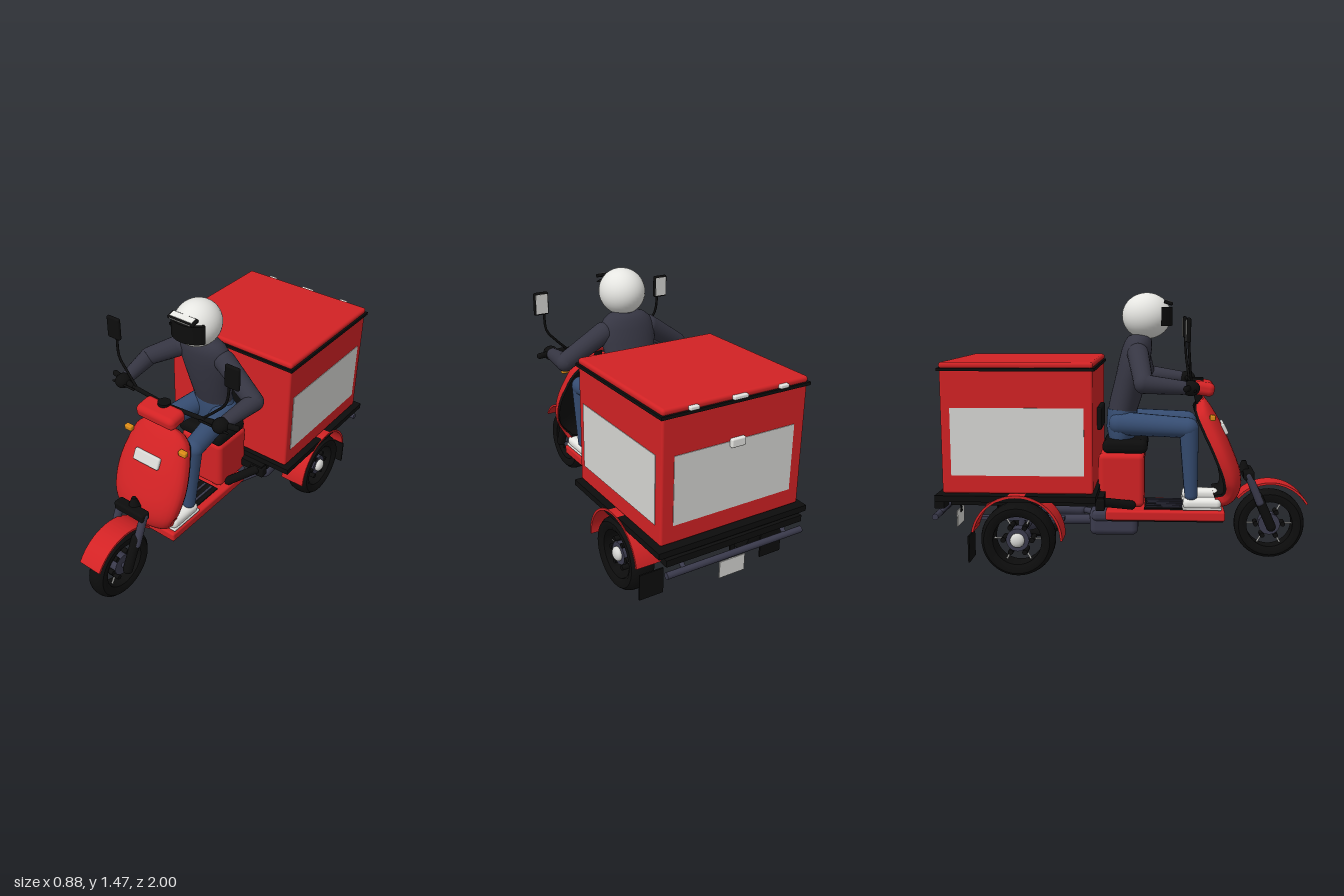
import * as THREE from 'three';
import { toCreasedNormals } from 'three/addons/utils/BufferGeometryUtils.js';
import { RoundedBoxGeometry } from 'three/addons/geometries/RoundedBoxGeometry.js';

const V = (x, y, z) => new THREE.Vector3(x, y, z);
const mat = (name, color) => Object.assign(new THREE.MeshStandardMaterial({ color }), { name });

// Closed solid through equal-sized rings of points, with flat end caps
function loft(rings, crease = 0.7) {
  const n = rings[0].length, pos = [], idx = [];
  rings.forEach(r => r.forEach(p => pos.push(p.x, p.y, p.z)));
  for (let j = 0; j < rings.length - 1; j++) for (let i = 0; i < n; i++) {
    const a = j * n + i, b = j * n + (i + 1) % n;
    idx.push(a, b, b + n, a, b + n, a + n);
  }
  [[rings[0], 0], [rings[rings.length - 1], (rings.length - 1) * n]].forEach(([r, base], end) => {
    const c = r.reduce((s, p) => s.add(p), V(0, 0, 0)).divideScalar(n), k = pos.length / 3;
    pos.push(c.x, c.y, c.z);
    for (let i = 0; i < n; i++) {
      const a = base + i, b = base + (i + 1) % n;
      idx.push(...(end ? [a, b, k] : [b, a, k]));
    }
  });
  // turn the faces outward if the volume comes out negative
  const P = i => V(pos[3 * i], pos[3 * i + 1], pos[3 * i + 2]);
  let volume = 0;
  for (let i = 0; i < idx.length; i += 3) volume += P(idx[i]).dot(P(idx[i + 1]).cross(P(idx[i + 2])));
  if (volume < 0) idx.reverse();
  const g = new THREE.BufferGeometry();
  g.setAttribute('position', new THREE.Float32BufferAttribute(pos, 3));
  g.setIndex(idx);
  return toCreasedNormals(g, crease);
}

// Stack of horizontal ellipses given as [y, z, halfWidth, halfDepth]
const ellipses = rows => loft(rows.map(([y, z, w, d]) => Array.from({ length: 28 }, (_, i) => {
  const a = i / 28 * Math.PI * 2;
  return V(w * Math.cos(a), y, z + d * Math.sin(a));
})));

// Front shield shell: rows run down the outside, each bowed backwards at its edges
function shield(from, to, scale) {
  const path = new THREE.CatmullRomCurve3([[.08, .905, .425], [.13, .89, .437], [.165, .86, .46], [.2, .76, .52],
    [.22, .63, .58], [.208, .5, .628], [.19, .42, .635], [.165, .35, .61], [.15, .305, .56], [.145, .292, .5]].map(p => V(...p)));
  const rings = [];
  for (let j = 0; j <= 30; j++) {
    const p = path.getPoint(j / 30), t = path.getTangent(j / 30);
    const back = V(0, t.z, -t.y).normalize().multiplyScalar(-1);
    const row = off => Array.from({ length: 17 }, (_, i) => {
      const a = (i / 8 - 1) * Math.PI / 2, bow = .07 * (1 - Math.cos(a));
      return V(p.x * scale * Math.sin(a), p.y, p.z).addScaledVector(back, bow * Math.min(1, p.x / .2) + off);
    });
    rings.push([...row(from), ...row(to).reverse()]);
  }
  return loft(rings);
}

// Curved mudguard around the x axis, angles measured from the front
function guard(r, width, a0, a1) {
  const s = new THREE.Shape();
  s.absarc(0, 0, r, a0, a1, false);
  s.absarc(0, 0, r - .012, a1, a0, true);
  const g = new THREE.ExtrudeGeometry(s, { depth: width, bevelEnabled: false, curveSegments: 28 });
  return toCreasedNormals(g.translate(0, 0, -width / 2).rotateY(-Math.PI / 2), .5);
}

export function createModel() {
  const red = mat('red paint', 0xd22224), black = mat('black', 0x0d0d0d), panel = mat('pale panel', 0xd6d6d3),
    white = mat('white', 0xe6e6e2), slate = mat('slate metal', 0x3a3a4c), jacket = mat('jacket', 0x363643),
    denim = mat('denim', 0x364d72), amber = mat('amber', 0xd98a16);
  const root = new THREE.Group();
  const add = (name, geo, m, x = 0, y = 0, z = 0, parent = root) => {
    const mesh = new THREE.Mesh(geo, m);
    mesh.name = name;
    mesh.position.set(x, y, z);
    parent.add(mesh);
    return mesh;
  };
  const box = (name, m, w, h, d, x, y, z, r = 0, parent = root) => add(name,
    r ? new RoundedBoxGeometry(w, h, d, 3, r) : new THREE.BoxGeometry(w, h, d), m, x, y, z, parent);
  // Round-ended, tapered bar from a to b
  const limb = (name, m, a, b, ra, rb = ra) => {
    const d = b.clone().sub(a), L = d.length(), pts = [];
    for (let i = 0; i <= 6; i++) { const t = i / 12 * Math.PI; pts.push(new THREE.Vector2(ra * Math.sin(t), -ra * Math.cos(t))); }
    for (let i = 0; i <= 6; i++) { const t = i / 12 * Math.PI; pts.push(new THREE.Vector2(rb * Math.cos(t), L + rb * Math.sin(t))); }
    const mesh = add(name, new THREE.LatheGeometry(pts, 18), m, a.x, a.y, a.z);
    mesh.quaternion.setFromUnitVectors(V(0, 1, 0), d.normalize());
    return mesh;
  };
  const sides = fn => [1, -1].forEach(fn);
  const disc = (r, w, n = 24) => new THREE.CylinderGeometry(r, r, w, n).rotateZ(Math.PI / 2);

  // Wheels: open between hub and rim, with thin spokes and six lugs
  const wheel = (name, x, z, w) => {
    const g = new THREE.Group();
    g.name = name;
    g.position.set(x, .195, z);
    root.add(g);
    const profile = [[.127, -.4], [.15, -.5], [.172, -.49], [.188, -.34], [.194, -.15], [.194, .15], [.188, .34],
      [.172, .49], [.15, .5], [.127, .4], [.127, -.4]].map(([r, k]) => new THREE.Vector2(r, k * w));
    add('tyre', toCreasedNormals(new THREE.LatheGeometry(profile, 40).rotateZ(Math.PI / 2), .6), black, 0, 0, 0, g);
    add('hub', disc(.06, w * .6), slate, 0, 0, 0, g);
    for (let i = 0; i < 6; i++) {
      const a = i / 6 * Math.PI * 2, c = Math.cos(a), s = Math.sin(a);
      add('lug', disc(.014, w * .66, 10), black, 0, .075 * s, .075 * c, g);
      const spoke = add('spoke', new THREE.CylinderGeometry(.005, .005, .075, 6), panel, 0, .095 * s, .095 * c, g);
      spoke.rotation.x = Math.PI / 2 - a;
    }
  };
  wheel('frontWheel', 0, .795, .1);
  add('frontMudguard', guard(.238, .135, .53, 2.45), red, 0, .2, .795);
  sides(s => {
    wheel('rearWheel', s * .365, -.55, .135);
    add('hubCap', new THREE.SphereGeometry(.038, 18, 12).scale(.6, 1, 1), panel, s * .412, .195, -.55);
    add('rearMudguard', guard(.238, .145, 0, 2.95), red, s * .367, .2, -.55);
    box('mudFlap', black, .135, .14, .008, s * .367, .15, -.8);
  });

  // Front fork and steering stem
  box('forkCrown', black, .2, .05, .06, 0, .48, .672, .012);
  add('stemCone', new THREE.CylinderGeometry(.012, .035, .06, 14), black, 0, .52, .65);
  sides(s => {
    limb('forkTube', slate, V(s * .082, .48, .67), V(s * .082, .33, .735), .022);
    limb('forkLeg', black, V(s * .072, .36, .725), V(s * .068, .19, .8), .027);
  });
  add('frontAxle', disc(.014, .17, 12), slate, 0, .195, .795);

  // Leg shield with lamp and indicators
  add('legShield', shield(0, .028, 1), red);
  add('shieldLining', shield(.026, .042, .97), black);
  box('headLamp', panel, .168, .065, .024, 0, .735, .535, .01).rotation.x = -.45;
  sides(s => box('indicator', amber, .048, .03, .03, s * .183, .812, .463, .008));
  limb('steeringStem', black, V(0, .84, .41), V(0, .97, .375), .022);

  // Handlebar, cowl and mirrors
  box('handlebarCowl', red, .25, .075, .12, 0, .957, .417, .03).rotation.x = .15;
  add('instrument', new THREE.CylinderGeometry(.035, .035, .02, 18), black, 0, 1.0, .385);
  sides(s => {
    limb('handlebar', black, V(0, .985, .375), V(s * .25, .982, .35), .012);
    limb('grip', black, V(s * .25, .982, .35), V(s * .405, .985, .315), .016);
    limb('brakeLever', black, V(s * .22, .985, .375), V(s * .38, .97, .36), .006);
    const stalk = new THREE.CatmullRomCurve3([V(s * .22, .985, .35), V(s * .29, 1.05, .34), V(s * .35, 1.12, .333), V(s * .365, 1.24, .325)]);
    add('mirrorStalk', new THREE.TubeGeometry(stalk, 16, .007, 8), black);
    box('mirror', black, .085, .125, .022, s * .38, 1.277, .325, .01);
    box('mirrorGlass', panel, .068, .105, .004, s * .38, 1.277, .3125);
  });

  // Step-through floor
  box('floor', red, .33, .055, .65, 0, .267, .215, .012);
  box('floorUnderside', black, .31, .008, .63, 0, .238, .215);
  box('floorMat', black, .25, .008, .4, 0, .297, .3);
  for (let i = -2; i <= 2; i++) box('matRib', slate, .014, .008, .38, i * .045, .303, .3);

  // Seat
  box('seatBase', red, .28, .3, .25, 0, .455, -.025, .03);
  box('seat', black, .3, .075, .245, 0, .643, -.005, .032);
  box('backrest', black, .26, .125, .03, 0, .795, -.145, .012);

  // Cargo box with lid, panels and catches
  box('cargoBox', red, .81, .64, .78, 0, .76, -.545, .012);
  box('lidSeam', black, .832, .016, .8, 0, 1.08, -.545);
  box('lid', red, .815, .034, .785, 0, 1.1, -.545, .015);
  sides(s => box('sidePanel', panel, .006, .35, .685, s * .405, .71, -.543));
  box('backPanel', panel, .68, .35, .006, 0, .71, -.935);
  box('catch', white, .08, .045, .024, 0, .878, -.945, .008);
  [-.25, 0, .25].forEach(x => box('lidClip', white, x ? .05 : .08, .02, .024, x, 1.1, -.945, .006));

  // Deck and chassis
  box('deck', black, .87, .032, .83, 0, .418, -.555);
  box('deckFrame', black, .56, .05, .85, 0, .372, -.535);
  box('rearCrossbeam', black, .8, .035, .05, 0, .375, -.955);
  sides(s => {
    limb('chassisStrut', black, V(s * .15, .325, .03), V(s * .25, .365, -.13), .025);
    box('frameEnd', black, .09, .065, .05, s * .245, .355, -.13, .01);
    limb('bumperBracket', slate, V(s * .3, .36, -.93), V(s * .3, .315, -.975), .012);
    box('leafSpring', slate, .04, .02, .46, s * .255, .275, -.55);
    limb('damper', slate, V(s * .255, .22, -.55), V(s * .255, .36, -.55), .02);
  });
  add('rearBumper', disc(.017, .8, 14), slate, 0, .312, -.98);
  box('rearPlate', panel, .15, .09, .006, 0, .215, -.95);
  box('plateBracket', black, .03, .12, .006, 0, .3, -.944);

  // Engine, exhaust and rear axle
  box('engine', slate, .2, .15, .27, 0, .21, -.07, .035);
  box('engineCover', slate, .24, .06, .24, 0, .25, -.07, .025);
  limb('driveTube', slate, V(0, .205, -.18), V(0, .2, -.55), .028);
  add('differential', new THREE.SphereGeometry(.062, 22, 14), slate, 0, .2, -.55);
  add('rearAxle', disc(.022, .62, 16), slate, 0, .2, -.55);
  limb('exhaustPipe', slate, V(.09, .2, -.08), V(.18, .215, -.27), .018);
  limb('muffler', slate, V(.19, .217, -.28), V(.19, .217, -.46), .04, .032);

  // Rider: body
  add('hips', ellipses([[.67, -.03, .12, .07], [.74, -.025, .14, .088], [.84, -.025, .118, .082]]), denim);
  add('torso', ellipses([[.81, -.028, .115, .08], [.9, -.005, .125, .086], [1, .02, .142, .086], [1.1, .042, .16, .086],
    [1.17, .056, .158, .082], [1.21, .063, .138, .073], [1.235, .066, .105, .058], [1.247, .068, .05, .03]]), jacket);
  add('neck', new THREE.CylinderGeometry(.05, .055, .08, 18), jacket, 0, 1.24, .08);

  // Rider: limbs
  sides(s => {
    limb('thigh', denim, V(s * .085, .765, -.03), V(s * .145, .752, .335), .065, .055);
    limb('shin', denim, V(s * .145, .75, .34), V(s * .125, .38, .355), .052, .036);
    box('shoe', white, .08, .062, .21, s * .12, .333, .415, .028);
    box('shoeSole', panel, .084, .014, .214, s * .12, .307, .415, .006);
    limb('upperArm', jacket, V(s * .14, 1.145, .065), V(s * .35, 1.01, .1), .058, .05);
    limb('forearm', jacket, V(s * .355, 1.005, .1), V(s * .33, .985, .3), .05, .036);
    add('glove', new THREE.SphereGeometry(.042, 18, 12).scale(1, .95, 1.15), black, s * .325, .982, .34);
  });

  // Rider: helmet with visor and peak
  add('helmet', new THREE.SphereGeometry(.122, 36, 24).scale(1, 1.02, 1.1), white, 0, 1.345, .108);
  add('visor', new THREE.CylinderGeometry(.132, .132, .1, 28, 1, false, -1, 2), black, 0, 1.342, .116);
  const peak = new THREE.Group();
  peak.name = 'peak';
  peak.position.set(0, 1.415, .225);
  peak.rotation.x = .3;
  root.add(peak);
  box('peakBlade', black, .165, .018, .05, 0, 0, 0, .006, peak);
  box('peakTop', white, .14, .004, .035, 0, .0095, -.002, 0, peak);
  box('peakStripe', panel, .13, .006, .004, 0, 0, .025, 0, peak);
  return root;
}
